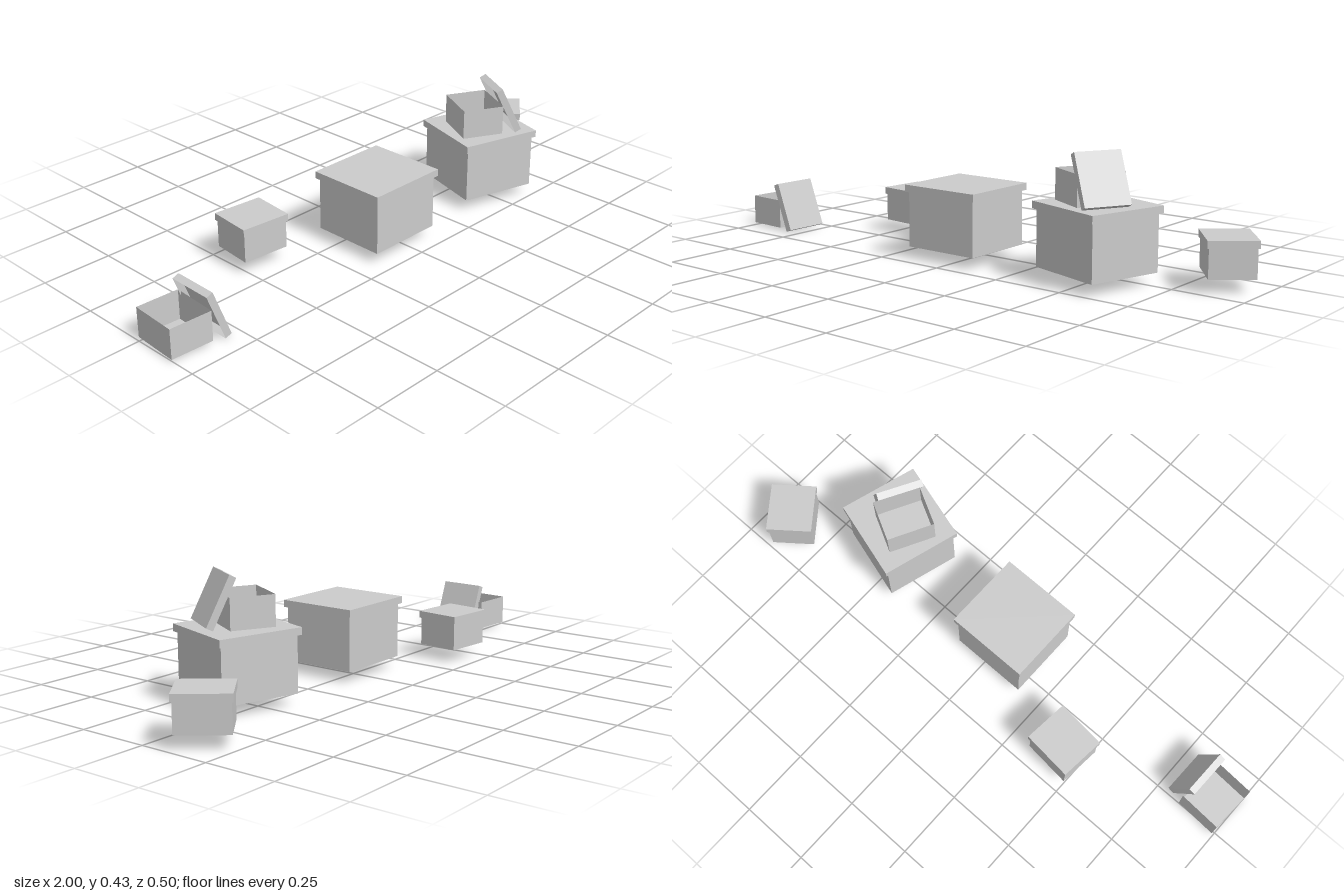
import * as THREE from 'three';

const material = new THREE.MeshStandardMaterial({ color: 0xcccccc, side: THREE.DoubleSide });
const LID_H = 0.025;
const SMALL = { w: 0.17, d: 0.151, h: 0.105, lidW: 0.18, lidD: 0.162 };
const BIG = { w: 0.279, d: 0.268, h: 0.2, lidW: 0.299, lidD: 0.288 };

// Thin-walled box with one face (2 = top, 3 = bottom) left open
function shell(name, w, h, d, openFace) {
  const geo = new THREE.BoxGeometry(w, h, d);
  const index = Array.from(geo.index.array);
  index.splice(openFace * 6, 6);
  geo.setIndex(index);
  geo.clearGroups();
  const mesh = new THREE.Mesh(geo, material);
  mesh.name = name;
  return mesh;
}

// Container standing on the origin, open at the top
function makeBase(s) {
  const mesh = shell('boxBase', s.w, s.h, s.d, 2);
  mesh.position.y = s.h / 2;
  return mesh;
}

// Lid whose outer face is centred on the origin, open underneath
function makeLid(s) {
  const lid = new THREE.Group();
  lid.name = 'lid';
  const mesh = shell('lidShell', s.lidW, LID_H, s.lidD, 3);
  mesh.position.y = -LID_H / 2;
  lid.add(mesh);
  return lid;
}

// Places a part and turns it about the vertical, then tilts it about its own z axis
function place(part, [x, y, z], turn, tilt = 0) {
  part.position.set(x, y, z);
  part.rotation.set(0, THREE.MathUtils.degToRad(turn), THREE.MathUtils.degToRad(tilt), 'YXZ');
  return part;
}

function closedBox(name, s, pos, turn, lidTop) {
  const box = new THREE.Group();
  box.name = name;
  const lid = makeLid(s);
  lid.position.y = lidTop - pos[1];
  box.add(makeBase(s), lid);
  return place(box, pos, turn);
}

function openBox(name, s, pos, turn, lidPos, lidTurn, lidTilt) {
  const box = new THREE.Group();
  box.name = name;
  const base = new THREE.Group();
  base.name = 'openBase';
  const mesh = makeBase(s);
  mesh.rotation.y = Math.PI / 2; // long side runs front to back
  base.add(mesh);
  box.add(place(base, pos, turn), place(makeLid(s), lidPos, lidTurn, lidTilt));
  return box;
}

export function createModel() {
  const model = new THREE.Group();
  model.name = 'storageBoxes';
  model.add(
    // Closed boxes
    closedBox('largeBoxMiddle', BIG, [-0.027, 0.046, 0.064], 0, 0.262),
    closedBox('largeBoxLeft', BIG, [0.515, 0.046, 0.069], -16.3, 0.262),
    closedBox('smallBoxRight', SMALL, [-0.424, 0.053, -0.132], -5.5, 0.176),
    closedBox('smallBoxLeft', SMALL, [0.874, 0.053, -0.129], -51.7, 0.176),
    // Open boxes with their lids leaning against them
    openBox('openBoxRight', SMALL, [-0.923, 0.014, 0.08], -3.3, [-0.817, 0.099, 0.096], -1, -69.5),
    openBox('openBoxOnTop', SMALL, [0.485, 0.262, 0.067], -27.8, [0.574, 0.355, 0.128], -29, -64.1),
  );
  return model;
}
